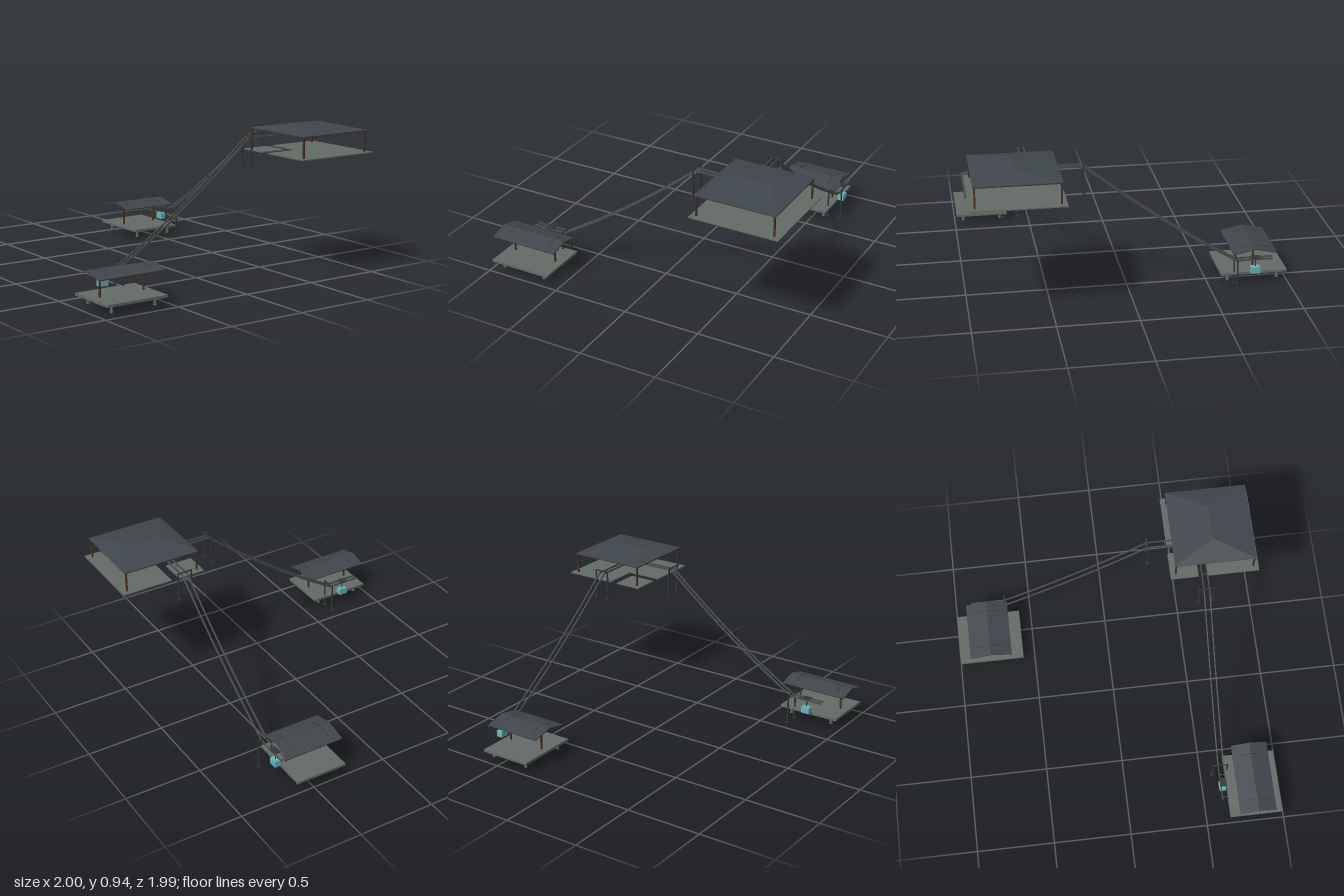
import * as THREE from 'three';

const mat = (name, color, side = THREE.FrontSide) => {
  const m = new THREE.MeshStandardMaterial({ color, side });
  m.name = name;
  return m;
};

export function createModel() {
  const slate = mat('slate roofing', 0x40474c);
  const wood = mat('dark wood', 0x4a2f22);
  const concrete = mat('concrete deck', 0x646c67);
  const steel = mat('dark steel', 0x34383a);
  const rail = mat('cable grey', 0x4c4f4f);
  const glass = mat('cabin teal', 0x6db3bb);
  const model = new THREE.Group();
  model.name = 'cablewayStations';

  const add = (parent, name, geo, m, x = 0, y = 0, z = 0) => {
    const mesh = new THREE.Mesh(geo, m);
    mesh.name = name;
    mesh.position.set(x, y, z);
    parent.add(mesh);
    return mesh;
  };
  const box = (parent, name, m, w, h, d, x, y, z) =>
    add(parent, name, new THREE.BoxGeometry(w, h, d), m, x, y, z);
  const group = (name, x = 0, y = 0, z = 0) => {
    const g = new THREE.Group();
    g.name = name;
    g.position.set(x, y, z);
    model.add(g);
    return g;
  };
  // Square bar between two points
  const bar = (parent, name, m, a, b, w, h) => {
    const mesh = box(parent, name, m, w, h, a.distanceTo(b) + 0.002, 0, 0, 0);
    mesh.position.copy(a).add(b).multiplyScalar(0.5);
    mesh.lookAt(b);
    return mesh;
  };
  // Flat-shaded surface from polygons wound counter-clockwise
  const faces = (polys) => {
    const pos = [];
    for (const p of polys)
      for (let i = 1; i < p.length - 1; i++) pos.push(...p[0], ...p[i], ...p[i + 1]);
    const g = new THREE.BufferGeometry();
    g.setAttribute('position', new THREE.Float32BufferAttribute(pos, 3));
    g.computeVertexNormals();
    return g;
  };

  // Lower stations: deck on short piers, two posts and a gable roof
  const lowerStation = (name, deck, roof, postX, pierX, pierZ) => {
    const g = group(name);
    const [x0, x1, z0, z1] = deck;
    box(g, 'deck', concrete, x1 - x0, 0.016, z1 - z0, (x0 + x1) / 2, 0.072, (z0 + z1) / 2);
    for (const x of pierX) for (const z of pierZ) {
      add(g, 'pier', new THREE.CylinderGeometry(0.009, 0.009, 0.045, 8), concrete, x, 0.042, z);
      add(g, 'pierFoot', new THREE.CylinderGeometry(0.011, 0.011, 0.006, 8), concrete, x, 0.021, z);
    }
    const [rx0, rx1, rz0, rz1] = roof;
    const zc = (rz0 + rz1) / 2, half = (rz1 - rz0) / 2;
    const eave = 0.214, ridge = 0.243;
    const shell = (t, m, label) => {
      const s = new THREE.Shape([
        [-half, eave - t], [0, ridge - t], [half, eave - t],
        [half, eave - t - 0.003], [0, ridge - t - 0.003], [-half, eave - t - 0.003],
      ].map(([u, v]) => new THREE.Vector2(u, v)));
      const geo = new THREE.ExtrudeGeometry(s, { depth: rx1 - rx0, bevelEnabled: false });
      geo.rotateY(Math.PI / 2);
      add(g, label, geo, m, rx0, 0, zc);
    };
    shell(0, slate, 'gableRoof');
    shell(0.003, wood, 'roofCeiling');
    for (const x of postX) {
      box(g, 'post', wood, 0.01, 0.155, 0.01, x, 0.157, zc);
      box(g, 'tieBeam', wood, 0.006, 0.004, half * 1.9, x, 0.213, zc);
      // Rafters show as fine ribs on the slopes
      for (const s of [-1, 1]) {
        const at = (f) => new THREE.Vector3(x, ridge - (ridge - eave) * f - 0.002, zc + s * half * f);
        bar(g, 'rafter', wood, at(0.05), at(0.62), 0.005, 0.006);
      }
    }
  };
  lowerStation('frontLowerStation', [-0.98, -0.567, 0.65, 0.99], [-1, -0.545, 0.703, 0.935],
    [-0.922, -0.62], [-0.922, -0.625], [0.695, 0.942]);
  lowerStation('backLowerStation', [0.272, 0.61, -0.995, -0.575], [0.25, 0.632, -0.922, -0.648],
    [0.318, 0.565], [0.32, 0.575], [-0.94, -0.625]);

  // Upper station: slotted deck, corner posts and hip roof
  const top = group('upperStation');
  const deckPart = (name, pts) => {
    const s = new THREE.Shape(pts.map(([x, z]) => new THREE.Vector2(x, -z)));
    const geo = new THREE.ExtrudeGeometry(s, { depth: 0.007, bevelEnabled: false });
    geo.rotateX(-Math.PI / 2);
    add(top, name, geo, concrete, 0, 0.757, 0);
  };
  deckPart('upperDeck', [[0.43, 0.985], [1, 0.985], [1, 0.418], [0.662, 0.418],
    [0.662, 0.65], [0.43, 0.65]]);
  deckPart('cornerDeck', [[0.43, 0.596], [0.61, 0.596], [0.61, 0.418], [0.43, 0.418]]);
  for (const x of [0.465, 0.96]) for (const z of [0.453, 0.95])
    box(top, 'cornerPost', wood, 0.01, 0.135, 0.01, x, 0.828, z);
  box(top, 'roofCeiling', wood, 0.514, 0.004, 0.514, 0.713, 0.893, 0.702);
  box(top, 'roofEave', slate, 0.518, 0.005, 0.518, 0.713, 0.8975, 0.702);
  const [X0, X1, Z0, Z1, E, R] = [0.454, 0.972, 0.443, 0.961, 0.9, 0.937];
  const a = [X0, E, Z1], b = [X1, E, Z1], c = [X1, E, Z0], d = [X0, E, Z0];
  const r0 = [0.603, R, 0.702], r1 = [0.823, R, 0.702];
  add(top, 'hipRoof', faces([[a, b, r1, r0], [b, c, r1], [c, d, r0, r1], [d, a, r0]]), slate);
  box(top, 'ridgeCap', slate, 0.222, 0.004, 0.008, 0.713, 0.936, 0.702);

  // Cableways run along local x: level, sagging span, level
  const cableway = (name, x, z, turn, cabinX) => {
    const g = group(name, x, 0, z);
    g.rotation.y = turn;
    const hi = [0.288, 0.866], lo = [-0.662, 0.183], n = 16;
    const path = [[0.518, 0.866]];
    for (let i = 0; i <= n; i++) {
      const t = i / n;
      path.push([hi[0] + (lo[0] - hi[0]) * t, hi[1] + (lo[1] - hi[1]) * t - 0.12 * t * (1 - t)]);
    }
    path.push([-0.887, 0.183]);
    for (const side of [-0.0175, 0.0175])
      for (let i = 0; i < path.length - 1; i++) {
        const p = path.slice(i, i + 2).map(([u, v]) => new THREE.Vector3(u, v, side));
        const mesh = box(g, 'cable', rail, p[0].distanceTo(p[1]) + 0.002, 0.011, 0.007,
          (p[0].x + p[1].x) / 2, (p[0].y + p[1].y) / 2, side);
        mesh.rotation.z = Math.atan2(p[0].y - p[1].y, p[0].x - p[1].x);
      }
    // Portal frames at both ends of the span
    for (const [px, base, head] of [[hi[0], 0.69, 0.886], [lo[0], 0, 0.2]]) {
      for (const s of [-0.046, 0.046]) {
        box(g, 'portalPost', steel, 0.008, head - base, 0.008, px, (head + base) / 2, s);
        box(g, 'portalFoot', steel, 0.02, 0.008, 0.02, px, base + 0.004, s);
      }
      box(g, 'portalBeam', steel, 0.008, 0.007, 0.1, px, head - 0.0035, 0);
    }
    // Cross ties on the level stretches
    for (const [u, v] of [[0.5, 0.866], [0.4, 0.866], [-0.72, 0.183], [-0.87, 0.183]])
      box(g, 'crossTie', rail, 0.005, 0.004, 0.035, u, v, 0);
    // Hanging cabin
    box(g, 'cabin', glass, 0.058, 0.04, 0.042, cabinX, 0.106, 0);
    box(g, 'cabinFloor', steel, 0.059, 0.003, 0.043, cabinX, 0.0855, 0);
    box(g, 'cabinRoof', glass, 0.05, 0.003, 0.036, cabinX, 0.1275, 0);
    box(g, 'hanger', steel, 0.006, 0.062, 0.006, cabinX, 0.159, 0);
    box(g, 'carriage', steel, 0.055, 0.006, 0.042, cabinX, 0.19, 0);
  };
  cableway('frontCableway', 0, 0.6225, 0, -0.775);
  cableway('backCableway', 0.636, 0, -Math.PI / 2, -0.785);

  return model;
}
